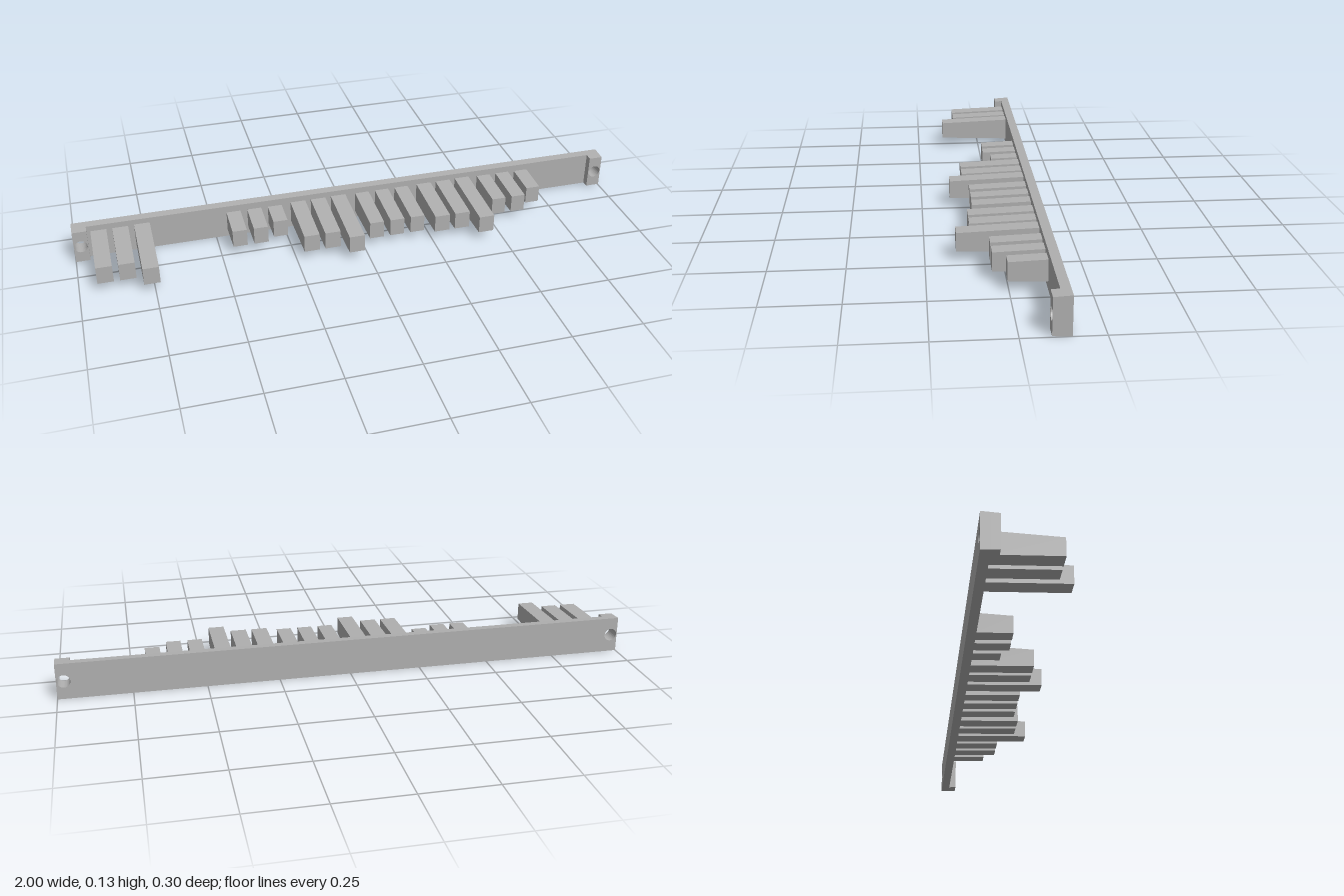
import * as THREE from 'three';

const MID_Y = 0.0635;   // height of the centre line
const BACK_Z = -0.15;   // rear face of the rail
const PLATE_Z = -0.119; // front face of the rail
const BOSS_Z = -0.092;  // front face of the end blocks
const DRAFT = 0.0375;   // mould draft: half-height lost per unit of depth

// Rectangular slab with round holes, drafted so it narrows towards the front
function slab(x0, x1, z0, z1, holes, material, name) {
  const shape = new THREE.Shape([
    new THREE.Vector2(x0, -MID_Y), new THREE.Vector2(x1, -MID_Y),
    new THREE.Vector2(x1, MID_Y), new THREE.Vector2(x0, MID_Y),
  ]);
  for (const x of holes) {
    shape.holes.push(new THREE.Path().absarc(x, 0, 0.0225, 0, Math.PI * 2, true));
  }
  const geo = new THREE.ExtrudeGeometry(shape, { depth: z1 - z0, bevelEnabled: false, curveSegments: 16 });
  geo.translate(0, 0, z0);
  const p = geo.attributes.position;
  for (let i = 0; i < p.count; i++) {
    const y = p.getY(i);
    if (Math.abs(y) > 0.05) p.setY(i, y - Math.sign(y) * (p.getZ(i) - BACK_Z) * 0.06);
  }
  geo.translate(0, MID_Y, 0);
  geo.computeVertexNormals();
  const mesh = new THREE.Mesh(geo, material);
  mesh.name = name;
  return mesh;
}

// Finger with a fixed tip height, growing taller towards its root
function finger(x, width, tipZ, material) {
  const length = tipZ - PLATE_Z;
  const tip = 0.0315, root = tip + length * DRAFT;
  const geo = new THREE.BoxGeometry(width, 2, length);
  const p = geo.attributes.position;
  for (let i = 0; i < p.count; i++) {
    p.setY(i, p.getY(i) * (p.getZ(i) > 0 ? tip : root));
  }
  geo.computeVertexNormals();
  const mesh = new THREE.Mesh(geo, material);
  mesh.position.set(x, 0.0645, PLATE_Z + length / 2);
  mesh.name = 'finger';
  return mesh;
}

export function createModel() {
  const model = new THREE.Group();
  model.name = 'fingerRail';
  const grey = new THREE.MeshStandardMaterial({ color: 0xb0b0b0 });
  grey.name = 'grey plastic';

  // Rail and the drilled blocks at its ends
  model.add(slab(-1, 1, BACK_Z, PLATE_Z, [-0.975, 0.975], grey, 'rail'));
  model.add(slab(-1, -0.95, PLATE_Z, BOSS_Z, [-0.975], grey, 'rightEndBlock'));
  model.add(slab(0.95, 1, PLATE_Z, BOSS_Z, [0.975], grey, 'leftEndBlock'));

  // Fingers in groups of three: [group centre, tip depths]
  const groups = [
    [-0.834, [0.1, 0.1, 0.147]],
    [-0.357, [0.003, 0.003, -0.022]],
    [-0.12, [0.1, 0.1, 0.147]],
    [0.122, [0.08, 0.08, 0.08]],
    [0.361, [0.1, 0.1, 0.147]],
    [0.599, [0.044, 0.044, 0.003]],
  ];
  for (const [centre, tips] of groups) {
    const group = new THREE.Group();
    group.name = 'fingerGroup';
    tips.forEach((z, i) => {
      group.add(finger(centre + (i - 1) * 0.0755, z > 0.09 ? 0.055 : 0.051, z + 0.002, grey));
    });
    model.add(group);
  }
  return model;
}
